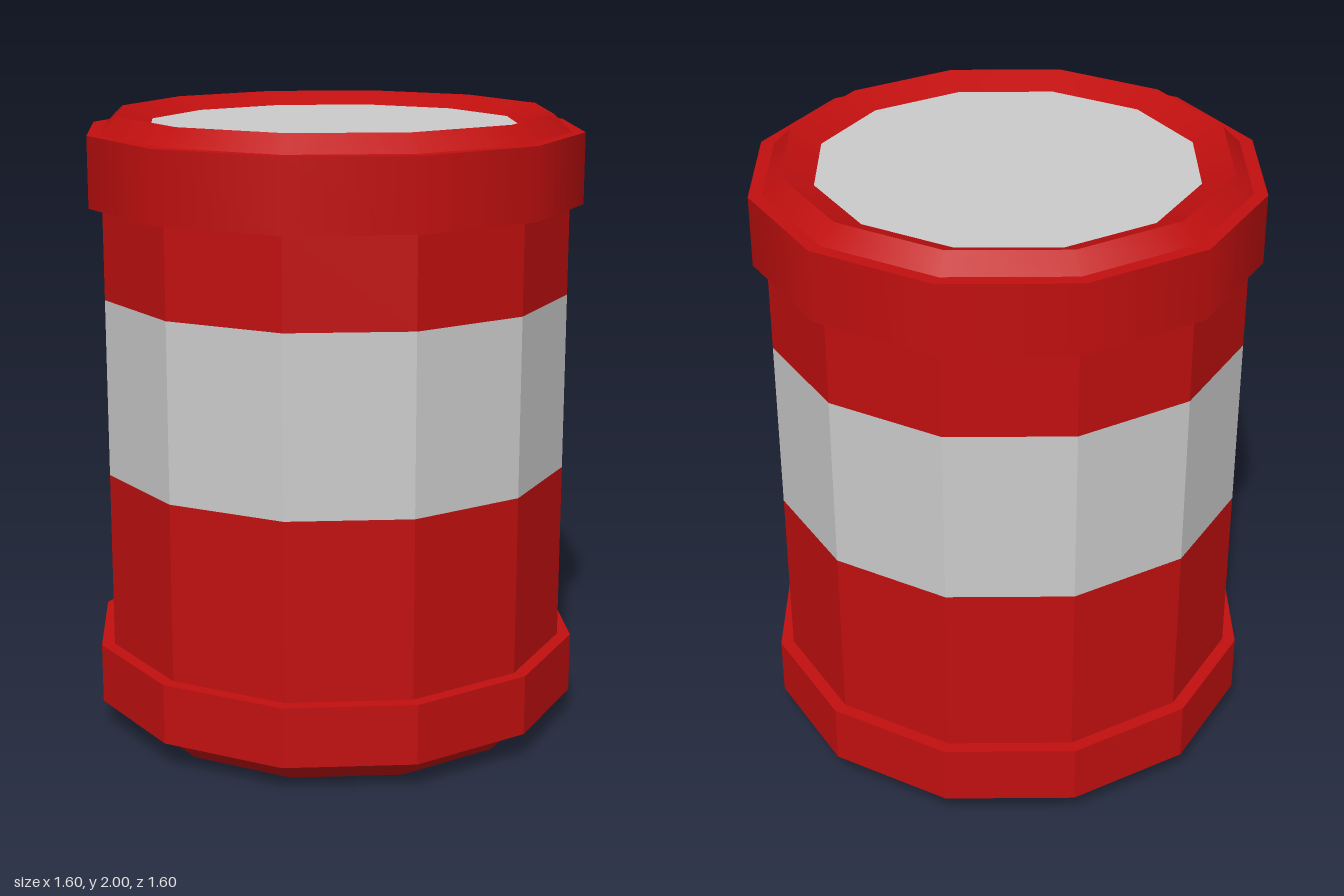
import * as THREE from 'three';

const SIDES = 12;
const RED = 0xc10f0f;
const GREY = 0xcccccc;

// One surface of revolution per profile, so profile edges stay sharp.
function band(name, color, flat, ...profile) {
  const points = profile.map(([r, y]) => new THREE.Vector2(r, y));
  const material = new THREE.MeshStandardMaterial({ color, flatShading: flat });
  const mesh = new THREE.Mesh(new THREE.LatheGeometry(points, SIDES), material);
  mesh.name = name;
  return mesh;
}

function part(name, ...meshes) {
  const group = new THREE.Group();
  group.name = name;
  group.add(...meshes);
  return group;
}

export function createModel() {
  const model = new THREE.Group();
  model.name = 'barrel';

  // Recessed base with a bevelled foot and a raised hoop
  model.add(part('base',
    band('basePlate', GREY, false, [0, 0.08], [0.6, 0.08]),
    band('footInnerSlope', RED, false, [0.6, 0.08], [0.67, 0]),
    band('footBevel', RED, false, [0.67, 0], [0.76, 0.09]),
    band('bottomHoop', RED, true, [0.757, 0.09], [0.8, 0.09], [0.8, 0.285], [0.757, 0.285]),
  ));

  // Faceted drum with one pale stripe
  model.add(part('drum',
    band('lowerDrum', RED, true, [0.757, 0.285], [0.757, 0.86]),
    band('stripe', GREY, true, [0.757, 0.86], [0.757, 1.43]),
    band('upperDrum', RED, true, [0.757, 1.43], [0.757, 1.72]),
  ));

  // Lid: overhanging collar, bevelled rim and sunken plate
  model.add(part('lid',
    band('collarUnderside', RED, false, [0.757, 1.72], [0.8, 1.72]),
    band('collar', RED, false, [0.8, 1.72], [0.8, 1.945]),
    band('collarTop', RED, false, [0.8, 1.945], [0.757, 1.945]),
    band('rimBevel', RED, false, [0.757, 1.945], [0.7, 2]),
    band('rimInnerSlope', RED, false, [0.7, 2], [0.6, 1.96]),
    band('topPlate', GREY, false, [0.6, 1.96], [0, 1.96]),
  ));

  return model;
}
